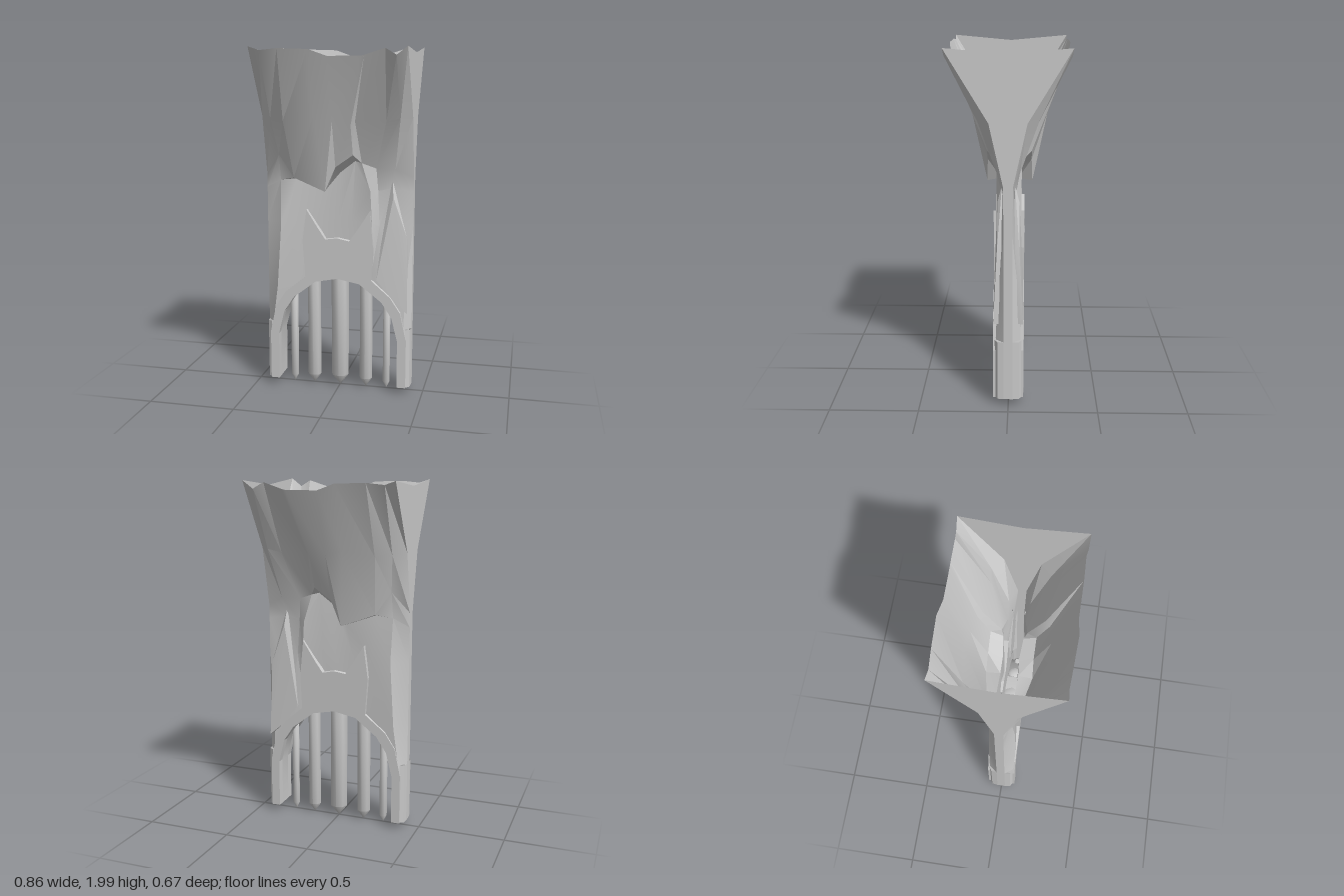
import * as THREE from 'three';
import { toCreasedNormals } from 'three/addons/utils/BufferGeometryUtils.js';
import { ConvexGeometry } from 'three/addons/geometries/ConvexGeometry.js';

const stone = new THREE.MeshStandardMaterial({ color: 0xcccccc, side: THREE.DoubleSide });

// Surface through rows of [x, y, z] points, with edges kept sharp
function loft(rows) {
  const n = rows[0].length, index = [];
  for (let r = 0; r < rows.length - 1; r++) {
    for (let c = 0; c < n - 1; c++) {
      const a = r * n + c, b = a + n;
      index.push(a, b, a + 1, a + 1, b, b + 1);
    }
  }
  const g = new THREE.BufferGeometry();
  g.setAttribute('position', new THREE.Float32BufferAttribute(rows.flat(2), 3));
  g.setIndex(index);
  return toCreasedNormals(g, 0.4);
}

function part(name, geometry) {
  const mesh = new THREE.Mesh(geometry, stone);
  mesh.name = name;
  return mesh;
}

const shapeOf = (pts) => new THREE.Shape(pts.map(([x, y]) => new THREE.Vector2(x, y)));
const mirrorX = (pts) => [...pts, ...pts.slice().reverse().filter(p => p[0] !== 0).map(([x, y]) => [-x, y])];

// Half outlines of the arch opening, from the foot to the crown
const archInner = mirrorX([[-0.355, 0.05], [-0.355, 0.33], [-0.32, 0.47], [-0.26, 0.56], [-0.13, 0.66], [0, 0.685]]);

// Flaring upper rock: rim, bulge, overhanging lip
const upperRock = [
  [[-0.43, 2, 0.33], [-0.37, 1.98, 0.325], [-0.27, 1.99, 0.33], [-0.1, 1.985, 0.337], [0, 1.95, 0.325],
    [0.18, 1.95, 0.325], [0.2, 1.955, 0.325], [0.31, 1.99, 0.32], [0.37, 1.955, 0.327], [0.43, 2, 0.33]],
  [[-0.43, 1.62, 0.1], [-0.365, 1.61, 0.16], [-0.28, 1.6, 0.2], [-0.1, 1.63, 0.225], [0, 1.6, 0.21],
    [0.1, 1.58, 0.19], [0.12, 1.6, 0.165], [0.29, 1.6, 0.145], [0.37, 1.62, 0.16], [0.43, 1.62, 0.1]],
  [[-0.43, 1.28, 0.025], [-0.34, 1.4, 0.085], [-0.25, 1.27, 0.095], [-0.06, 1.2, 0.13], [0, 1.34, 0.125],
    [0.1, 1.41, 0.125], [0.14, 1.36, 0.07], [0.22, 1.33, 0.05], [0.33, 1.33, 0.06], [0.43, 1.28, 0.025]],
];
// Recessed lower rock, down to the line of the arch
const lowerRock = [
  [[-0.43, 1.2, 0.025], [-0.34, 1.25, 0.05], [-0.24, 1.26, 0.05], [-0.06, 1.215, 0.05], [0.01, 1.3, 0.045],
    [0.1, 1.37, 0.055], [0.19, 1.2, 0.07], [0.23, 1.2, 0.04], [0.31, 1.22, 0.03], [0.43, 1.2, 0.025]],
  [[-0.43, 1, 0.025], [-0.335, 1, 0.075], [-0.22, 1, 0.06], [-0.1, 1.02, 0.045], [0, 1.02, 0.06],
    [0.08, 1.02, 0.05], [0.2, 1.02, 0.07], [0.24, 1, 0.05], [0.36, 1, 0.04], [0.43, 1, 0.025]],
  [[-0.43, 0.65, 0.025], [-0.36, 0.62, 0.08], [-0.24, 0.68, 0.07], [-0.1, 0.78, 0.05], [0, 0.78, 0.05],
    [0.1, 0.78, 0.05], [0.2, 0.74, 0.06], [0.28, 0.68, 0.065], [0.39, 0.62, 0.06], [0.43, 0.65, 0.025]],
  [[-0.43, 0.4, 0.025], [-0.39, 0.4, 0.075], [-0.25, 0.61, 0.07], [-0.1, 0.7, 0.05], [0, 0.71, 0.05],
    [0.1, 0.7, 0.05], [0.19, 0.66, 0.06], [0.28, 0.58, 0.065], [0.39, 0.4, 0.07], [0.43, 0.4, 0.025]],
];

function makeFace() {
  const face = new THREE.Group();
  face.add(part('rockWall', loft([...upperRock, ...lowerRock])));

  // Raised arch frame with a two-horned crown
  const frame = shapeOf([
    ...archInner,
    [0.405, 0.05], [0.405, 0.34], [0.37, 0.5], [0.31, 0.59], [0.2, 0.685], [0.21, 0.88], [0.19, 1.09],
    [0.12, 0.98], [0.07, 0.91], [0, 0.925], [-0.07, 0.915], [-0.12, 0.99], [-0.18, 1.085], [-0.205, 0.9],
    [-0.19, 0.685], [-0.31, 0.59], [-0.37, 0.5], [-0.405, 0.34], [-0.405, 0.05],
  ]);
  const frameGeometry = new THREE.ExtrudeGeometry(frame, { depth: 0.045, bevelEnabled: false });
  frameGeometry.translate(0, 0, 0.04);
  face.add(part('archFrame', frameGeometry));

  // Outer flanks of the legs
  for (const s of [-1, 1]) {
    face.add(part('legFlank', loft([0.4, 0.05].map(y =>
      [[s * 0.43, y, 0.025], [s * 0.425, y, 0.06], [s * 0.4, y, 0.075]]))));
  }

  // Sharp slab leaning on one shoulder
  face.add(part('rockShard', toCreasedNormals(new ConvexGeometry([
    [0.31, 1.27, 0.035], [0.32, 1.17, 0.06], [0.4, 0.94, 0.06], [0.41, 0.5, 0.083], [0.34, 0.56, 0.083],
    [0.23, 0.69, 0.082], [0.25, 0.88, 0.066], [0.3, 1.2, 0.03], [0.4, 0.92, 0.03], [0.4, 0.5, 0.04], [0.24, 0.7, 0.04],
  ].map(p => new THREE.Vector3(...p))), 0.3)));
  return face;
}

export function createModel() {
  const model = new THREE.Group();
  model.name = 'rockGate';

  // Matching front and back faces
  const front = makeFace();
  front.name = 'frontFace';
  const back = makeFace();
  back.name = 'backFace';
  back.scale.z = -1;
  model.add(front, back);

  // Underside of the arch joining both faces
  model.add(part('archSoffit', loft([0.085, -0.085].map(z => archInner.map(([x, y]) => [x, y, z])))));

  // Flat flared ends
  const endShape = shapeOf([
    [-0.025, 0.05], [0.025, 0.05], [0.025, 1.28], [0.1, 1.62], [0.33, 2],
    [0, 1.97], [-0.33, 2], [-0.1, 1.62], [-0.025, 1.28],
  ]);
  for (const s of [-1, 1]) {
    const end = part(s > 0 ? 'leftEnd' : 'rightEnd', new THREE.ShapeGeometry(endShape));
    end.rotation.y = s * Math.PI / 2;
    end.position.x = s * 0.43;
    model.add(end);
  }

  // Pointed bars hanging in the arch: x, radius, top
  const bars = [[-0.28, 0.023, 0.58], [-0.157, 0.04, 0.66], [0, 0.052, 0.69], [0.157, 0.038, 0.66], [0.28, 0.021, 0.56]];
  for (const [x, r, top] of bars) {
    const profile = [[0, 0.01], [r, 0.035 + r * 0.8], [r, top - 0.01], [r * 0.6, top], [0, top]];
    const bar = part('gateBar', toCreasedNormals(
      new THREE.LatheGeometry(profile.map(p => new THREE.Vector2(...p)), 8), 0.9));
    bar.position.x = x;
    model.add(bar);
  }
  return model;
}
